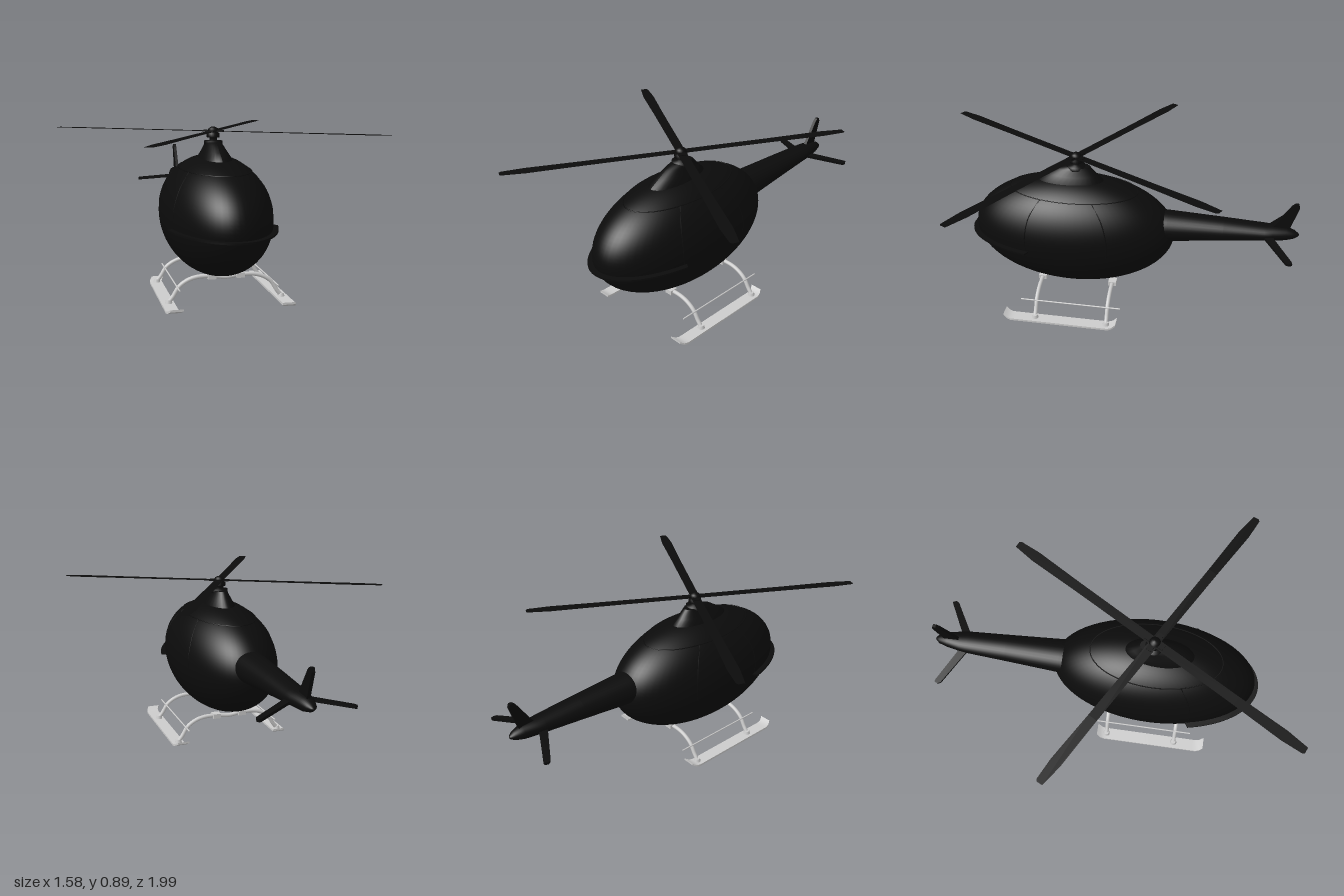
import * as THREE from 'three';

const black = new THREE.MeshStandardMaterial({ color: 0x0b0b0b });
const blackThin = new THREE.MeshStandardMaterial({ color: 0x0b0b0b, side: THREE.DoubleSide });
const grey = new THREE.MeshStandardMaterial({ color: 0xcccccc });

// Cabin ellipsoid and rotor axis
const C = { y: 0.44, z: 0.22, rx: 0.28, ry: 0.31, rz: 0.557 };
const ROTOR_Z = 0.203;

function add(parent, name, geometry, material = black) {
  const mesh = new THREE.Mesh(geometry, material);
  mesh.name = name;
  parent.add(mesh);
  return mesh;
}

// Elliptical cross-sections stacked along y, top first: [y, rx, rz, centreZ]
function loft(sections, sides = 32) {
  const rows = sections.length - 1;
  const g = new THREE.CylinderGeometry(1, 1, 1, sides, rows);
  const p = g.attributes.position;
  for (let i = 0; i < p.count; i++) {
    const [y, rx, rz, cz] = sections[Math.round((0.5 - p.getY(i)) * rows)];
    p.setXYZ(i, p.getX(i) * rx, y, p.getZ(i) * rz + cz);
  }
  g.computeVertexNormals();
  return g;
}

function tube(points, radius, segments = 40, sides = 8, closed = false) {
  const curve = new THREE.CatmullRomCurve3(points.map(p => new THREE.Vector3(...p)), closed);
  return new THREE.TubeGeometry(curve, segments, radius, sides, closed);
}

// Flat plate from outline points, centred on its thickness
function plate(points, depth) {
  const shape = new THREE.Shape(points.map(p => new THREE.Vector2(...p)));
  return new THREE.ExtrudeGeometry(shape, { depth, bevelEnabled: false }).translate(0, 0, -depth / 2);
}

function makeCabin(group) {
  const shell = new THREE.SphereGeometry(1, 64, 48).scale(C.rx, C.ry, C.rz).translate(0, C.y, C.z);
  add(group, 'cabin', shell);

  // Thin flange around the nose
  const a = 0.386;
  const s = new THREE.Shape();
  s.absellipse(0, C.z, 0.306, 0.583, a, Math.PI - a, false);
  s.absellipse(0, C.z, 0.25, 0.5, Math.PI - a, a, true);
  const flange = new THREE.ExtrudeGeometry(s, { depth: 0.009, bevelEnabled: false, curveSegments: 40 });
  add(group, 'noseFlange', flange.rotateX(Math.PI / 2).translate(0, 0.407, 0));

  // Door seams lying on the shell
  const onShell = (z, y, side) => {
    const k = 1 - ((y - C.y) / C.ry) ** 2 - ((z - C.z) / C.rz) ** 2;
    return [side * C.rx * Math.sqrt(Math.max(k, 0)), y, z];
  };
  const seams = [
    [[0.44, 0.41], [0.44, 0.5], [0.42, 0.6], [0.37, 0.68]],
    [[0.0, 0.41], [0.0, 0.5], [0.03, 0.6], [0.09, 0.68]],
  ];
  for (const side of [-1, 1])
    for (const seam of seams)
      add(group, 'doorSeam', tube(seam.map(([z, y]) => onShell(z, y, side)), 0.003, 24, 6));

  // Roof seam ring
  const k = Math.sqrt(1 - ((0.68 - C.y) / C.ry) ** 2);
  const ring = [];
  for (let i = 0; i < 24; i++) {
    const t = i / 24 * Math.PI * 2;
    ring.push([C.rx * k * Math.cos(t), 0.68, C.z + C.rz * k * Math.sin(t)]);
  }
  add(group, 'roofSeam', tube(ring, 0.003, 72, 6, true));
}

function makeTail(group) {
  // Boom and rounded tail cone, lofted along z: [z, halfWidth, halfHeight, -centreY]
  const boom = loft([
    [-0.2, 0.102, 0.088, -0.49], [-0.3, 0.094, 0.083, -0.492], [-0.6, 0.075, 0.06, -0.502],
    [-0.82, 0.062, 0.042, -0.508], [-0.86, 0.056, 0.04, -0.508], [-0.93, 0.042, 0.036, -0.508],
    [-0.975, 0.027, 0.022, -0.506], [-0.995, 0.012, 0.009, -0.505], [-1, 0.002, 0.002, -0.505],
  ]).rotateX(Math.PI / 2);
  add(group, 'tailBoom', boom);

  // Upright fin, outline as [z, y]
  const fin = plate([[-0.84, 0.51], [-0.87, 0.555], [-0.945, 0.675], [-0.962, 0.69],
    [-0.978, 0.69], [-0.985, 0.67], [-0.945, 0.535], [-0.945, 0.5]], 0.018);
  add(group, 'tailFin', fin.rotateY(-Math.PI / 2), blackThin);

  // Swept, slightly drooping side fins, outline as [span, z]
  for (const side of [-1, 1]) {
    const g = plate([[0, -0.78], [0.06, -0.82], [0.243, -0.928], [0.251, -0.945],
      [0.243, -0.962], [0.232, -0.96], [0.06, -0.868], [0, -0.86]], 0.014);
    g.rotateX(Math.PI / 2);
    const holder = new THREE.Group();
    holder.name = side > 0 ? 'leftTailFin' : 'rightTailFin';
    holder.position.y = 0.505;
    holder.rotation.z = -side * 0.14;
    if (side < 0) g.rotateZ(Math.PI).translate(0, 0, 0);
    add(holder, 'sideFin', g, blackThin);
    group.add(holder);
  }
}

function makeRotor(group) {
  // Roof fairing below the mast
  add(group, 'rotorFairing', loft([
    [0.815, 0.038, 0.065, 0.195], [0.8, 0.046, 0.097, 0.213], [0.77, 0.062, 0.135, 0.225],
    [0.735, 0.083, 0.18, 0.235], [0.66, 0.11, 0.21, 0.235],
  ]));

  const rotor = new THREE.Group();
  rotor.name = 'mainRotor';
  rotor.position.z = ROTOR_Z;
  group.add(rotor);

  // Mast, hub and rounded cap as one turned profile
  const profile = [[0, 0.79], [0.048, 0.8], [0.048, 0.82], [0.02, 0.822], [0.02, 0.835], [0.034, 0.838],
    [0.034, 0.858], [0.026, 0.861], [0.03, 0.872], [0.024, 0.884], [0.012, 0.891], [0, 0.893]];
  add(rotor, 'hub', new THREE.LatheGeometry(profile.map(p => new THREE.Vector2(...p)), 24), blackThin);

  // Four flat blades with clipped tips
  const outline = [[0, -0.024], [0.5, -0.026], [0.78, -0.03], [0.895, -0.021], [0.905, -0.012],
    [0.902, 0.02], [0.78, 0.03], [0.5, 0.026], [0, 0.024]];
  const shape = new THREE.Shape(outline.map(p => new THREE.Vector2(...p)));
  for (let i = 0; i < 4; i++) {
    const blade = add(rotor, 'blade', new THREE.ShapeGeometry(shape).rotateX(-Math.PI / 2), blackThin);
    blade.position.y = 0.87;
    blade.rotation.y = -Math.PI / 6 + i * Math.PI / 2;
    const grip = add(rotor, 'bladeGrip', new THREE.BoxGeometry(0.035, 0.008, 0.03).translate(0.038, 0.87, 0));
    grip.rotation.y = blade.rotation.y;
  }
}

// Board swept along z with raised ends that lean inward
function skidBoard(side) {
  const g = new THREE.BoxGeometry(0.066, 0.011, 0.63, 1, 1, 30);
  const p = g.attributes.position;
  for (let i = 0; i < p.count; i++) {
    const z = p.getZ(i);
    const end = Math.max(0, (Math.abs(z) - 0.27) / 0.045);
    p.setX(i, p.getX(i) + side * (0.301 - 0.016 * end * end));
    p.setY(i, p.getY(i) + 0.011 + 0.018 * end * end);
    p.setZ(i, z + 0.25);
  }
  g.computeVertexNormals();
  return g;
}

function makeSkids(group) {
  const skids = new THREE.Group();
  skids.name = 'landingSkids';
  skids.position.x = 0.025;
  group.add(skids);

  // Arched cross tubes
  const half = [[0.303, 0.015], [0.275, 0.05], [0.243, 0.1], [0.2, 0.13], [0.15, 0.145], [0.075, 0.146]];
  const arch = [...half.map(([x, y]) => [-x, y]), [0, 0.137], ...half.slice().reverse()];
  for (const z of [-0.01, 0.39]) {
    add(skids, 'crossTube', tube(arch.map(([x, y]) => [x, y, z]), 0.011, 64, 10), grey);
    for (const side of [-1, 1]) {
      const clamp = new THREE.BoxGeometry(0.042, 0.026, 0.044).translate(side * 0.075, 0.146, z);
      add(skids, 'clamp', clamp, grey);
      const foot = new THREE.CylinderGeometry(0.014, 0.02, 0.02, 12).translate(side * 0.298, 0.024, z);
      add(skids, 'footSocket', foot, grey);
    }
  }

  // Boards and step rods on both sides
  for (const side of [-1, 1]) {
    add(skids, 'skid', skidBoard(side), grey);
    const rod = new THREE.CylinderGeometry(0.004, 0.004, 0.56, 8).rotateX(Math.PI / 2);
    add(skids, 'stepRod', rod.translate(side * 0.255, 0.1, 0.197), grey);
  }
}

export function createModel() {
  const model = new THREE.Group();
  model.name = 'helicopter';
  makeCabin(model);
  makeTail(model);
  makeRotor(model);
  makeSkids(model);
  return model;
}
